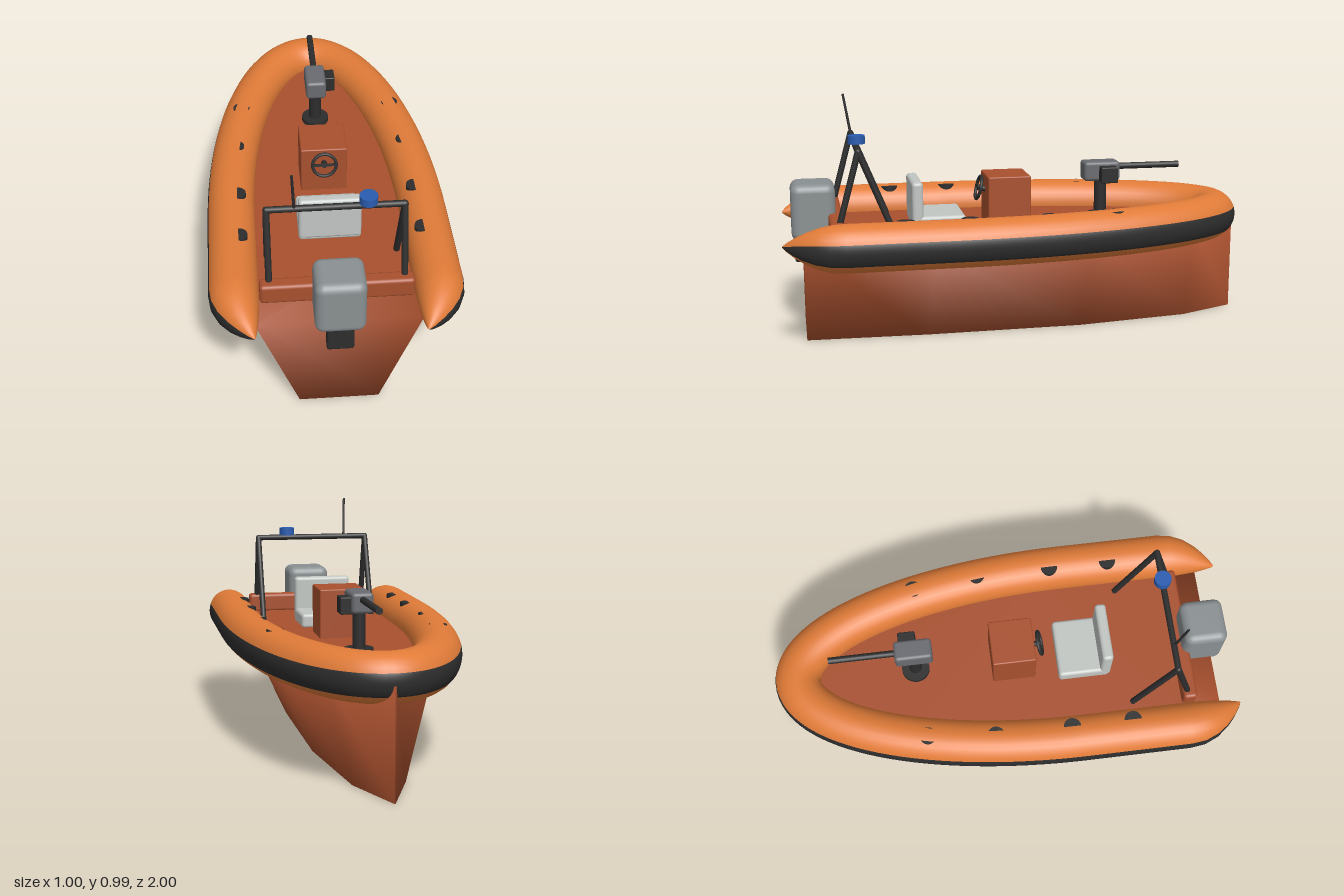
import * as THREE from 'three';
import { RoundedBoxGeometry } from 'three/addons/geometries/RoundedBoxGeometry.js';

const mat = (name, color) => Object.assign(new THREE.MeshStandardMaterial({ color }), { name });

export function createModel() {
  const boat = new THREE.Group();
  boat.name = 'inflatableBoat';
  const hullRed = mat('hullRed', 0xa8502e);
  const tubeOrange = mat('tubeOrange', 0xe07b38);
  const black = mat('black', 0x2d2d2e);
  const engineGrey = mat('engineGrey', 0x8a9092);
  const gunGrey = mat('gunGrey', 0x696b70);
  const seatGrey = mat('seatGrey', 0xc2c6c3);
  const blue = mat('blue', 0x2a5cb0);

  const add = (name, geo, material, x = 0, y = 0, z = 0, parent = boat) => {
    const m = new THREE.Mesh(geo, material);
    m.name = name;
    m.position.set(x, y, z);
    parent.add(m);
    return m;
  };
  // Rounded box given by its limits on each axis
  const box = (name, material, [x0, x1], [y0, y1], [z0, z1], r = 0.008) =>
    add(name, new RoundedBoxGeometry(x1 - x0, y1 - y0, z1 - z0, 3, r), material,
      (x0 + x1) / 2, (y0 + y1) / 2, (z0 + z1) / 2);
  // Round bar between two points
  const bar = (name, material, from, to, r, r2 = r) => {
    const a = new THREE.Vector3(...from), b = new THREE.Vector3(...to);
    const d = b.clone().sub(a);
    const m = add(name, new THREE.CylinderGeometry(r2, r, d.length(), 16), material);
    m.position.copy(a).add(b).multiplyScalar(0.5);
    m.quaternion.setFromUnitVectors(new THREE.Vector3(0, 1, 0), d.normalize());
    return m;
  };
  const buffer = (pos, idx) => {
    const g = new THREE.BufferGeometry();
    g.setAttribute('position', new THREE.Float32BufferAttribute(pos, 3));
    g.setIndex(idx);
    g.computeVertexNormals();
    return g;
  };

  // Hull: stations of [z, half width at top, half width at bottom]
  const stations = [[-1, 0.003, 0.002], [-0.75, 0.21, 0.105], [-0.26, 0.355, 0.17],
    [0.4, 0.376, 0.176], [0.91, 0.325, 0.158]];
  const hp = [], hi = [];
  stations.forEach(([z, t, b], s) => {
    hp.push(-t, 0.435, z, -b, 0, z, b, 0, z, t, 0.435, z);
    if (s === stations.length - 1) return;
    for (let k = 0; k < 4; k++) {
      const a = s * 4 + k, c = s * 4 + (k + 1) % 4;
      hi.push(a, c, c + 4, a, c + 4, a + 4);
    }
  });
  const e = (stations.length - 1) * 4;
  hi.push(e, e + 1, e + 2, e, e + 2, e + 3, 0, 2, 1, 0, 3, 2);
  add('hull', buffer(hp, hi), hullRed);

  // Buoyancy tube: half path of [x, z, radius] from stern to bow, then mirrored
  const R = 0.098, CY = 0.447;
  const half = [[0.325, 0.995, 0.003], [0.335, 0.975, 0.02], [0.35, 0.94, 0.043], [0.367, 0.9, 0.064],
    [0.384, 0.85, 0.084], [0.396, 0.8, 0.095], [0.4, 0.75, R], [0.4, 0.55, R]];
  for (let i = 0; i <= 30; i++) {
    const t = (i / 30) * Math.PI / 2;
    half.push([0.4 * Math.cos(t), 0.3 - 1.2 * Math.sin(t), R]);
  }
  const path = [...half.map(([x, z, r]) => [-x, z, r]), ...half.slice(0, -1).reverse()];
  const rad = Math.PI / 180, BAND = 8, SEG = 32;
  const angles = Array.from({ length: SEG }, (_, k) =>
    (k < BAND ? -36 + 56 * k / BAND : 20 + 304 * (k - BAND) / (SEG - BAND)) * rad);
  const tp = [], band = [], skin = [];
  path.forEach(([x, z, r], i) => {
    const p = path[Math.max(i - 1, 0)], q = path[Math.min(i + 1, path.length - 1)];
    const tx = q[0] - p[0], tz = q[1] - p[1], l = Math.hypot(tx, tz);
    const nx = tz / l, nz = -tx / l;
    angles.forEach((a, k) => {
      const c = r * Math.cos(a);
      tp.push(x + nx * c, CY + r * Math.sin(a), z + nz * c);
      if (i === path.length - 1) return;
      const u = i * SEG + k, v = i * SEG + (k + 1) % SEG;
      (k < BAND ? band : skin).push(u, v, v + SEG, u, v + SEG, u + SEG);
    });
  });
  const tubeGeo = buffer(tp, [...skin, ...band]);
  tubeGeo.addGroup(0, skin.length, 0);
  tubeGeo.addGroup(skin.length, band.length, 1);
  add('buoyancyTube', tubeGeo, [tubeOrange, black]);

  // Deck between the tubes
  const deckShape = new THREE.Shape();
  deckShape.moveTo(-0.36, -0.78);
  deckShape.lineTo(0.36, -0.78);
  deckShape.lineTo(0.38, -0.3);
  deckShape.absellipse(0, -0.3, 0.38, 1.18, 0, Math.PI, false);
  const deckGeo = new THREE.ShapeGeometry(deckShape, 32);
  deckGeo.rotateX(-Math.PI / 2);
  add('deck', deckGeo, hullRed, 0, 0.44, 0);

  // Stern beam
  box('sternBeam', hullRed, [-0.3, 0.3], [0.435, 0.522], [0.745, 0.805], 0.015);

  // Tube pads, mirrored
  for (const s of [-1, 1])
    for (const [x, z] of [[0.338, -0.36], [0.37, -0.075], [0.372, 0.25], [0.372, 0.51]])
      add('tubePad', new THREE.CylinderGeometry(0.037, 0.037, 0.025, 24), black, s * x, 0.528, z);

  // Outboard engine
  box('engineLeg', black, [-0.053, 0.053], [0.31, 0.43], [0.84, 0.945], 0.01);
  box('engineCowl', engineGrey, [-0.098, 0.098], [0.405, 0.645], [0.772, 0.957], 0.035);

  // Seat
  box('seatCushion', seatGrey, [-0.128, 0.128], [0.435, 0.5], [0.23, 0.45], 0.015);
  box('seatBack', seatGrey, [-0.128, 0.128], [0.45, 0.645], [0.41, 0.457], 0.015);

  // Steering console and wheel
  box('console', hullRed, [-0.098, 0.098], [0.435, 0.652], [-0.055, 0.13], 0.006);
  const wheel = new THREE.Group();
  wheel.name = 'steeringWheel';
  wheel.position.set(0, 0.592, 0.157);
  wheel.rotation.x = -0.24;
  boat.add(wheel);
  add('wheelRim', new THREE.TorusGeometry(0.05, 0.007, 10, 32), black, 0, 0, 0, wheel);
  add('wheelSpoke', new THREE.BoxGeometry(0.1, 0.01, 0.008), black, 0, 0, 0, wheel);
  const hub = add('wheelHub', new THREE.CylinderGeometry(0.012, 0.012, 0.05, 16), black, 0, 0, -0.02, wheel);
  hub.rotation.x = Math.PI / 2;

  // Deck gun
  add('gunBase', new THREE.CylinderGeometry(0.06, 0.06, 0.02, 32), black, 0, 0.45, -0.385);
  bar('gunPedestal', black, [0, 0.44, -0.385], [0, 0.63, -0.385], 0.027);
  box('gunBody', gunGrey, [-0.045, 0.045], [0.608, 0.693], [-0.463, -0.303], 0.015);
  box('ammoBox', black, [0.035, 0.088], [0.605, 0.675], [-0.442, -0.368], 0.005);
  bar('gunBarrel', black, [0, 0.665, -0.45], [0, 0.665, -0.74], 0.014);

  // Roll bar frame
  for (const s of [-1, 1]) {
    const x = s * 0.262, top = [x, 0.807, 0.685];
    bar('frameLegRear', black, [x, 0.44, 0.785], top, 0.013);
    bar('frameLegFront', black, [x, 0.44, 0.535], top, 0.013);
    add('frameJoint', new THREE.SphereGeometry(0.013, 16, 12), black, ...top);
  }
  bar('frameCrossbar', black, [-0.262, 0.807, 0.685], [0.262, 0.807, 0.685], 0.013);

  // Beacon and antenna
  add('beacon', new THREE.CylinderGeometry(0.035, 0.035, 0.034, 32), blue, 0.124, 0.836, 0.682);
  bar('antenna', black, [-0.157, 0.81, 0.688], [-0.165, 0.99, 0.718], 0.006, 0.005);

  return boat;
}
